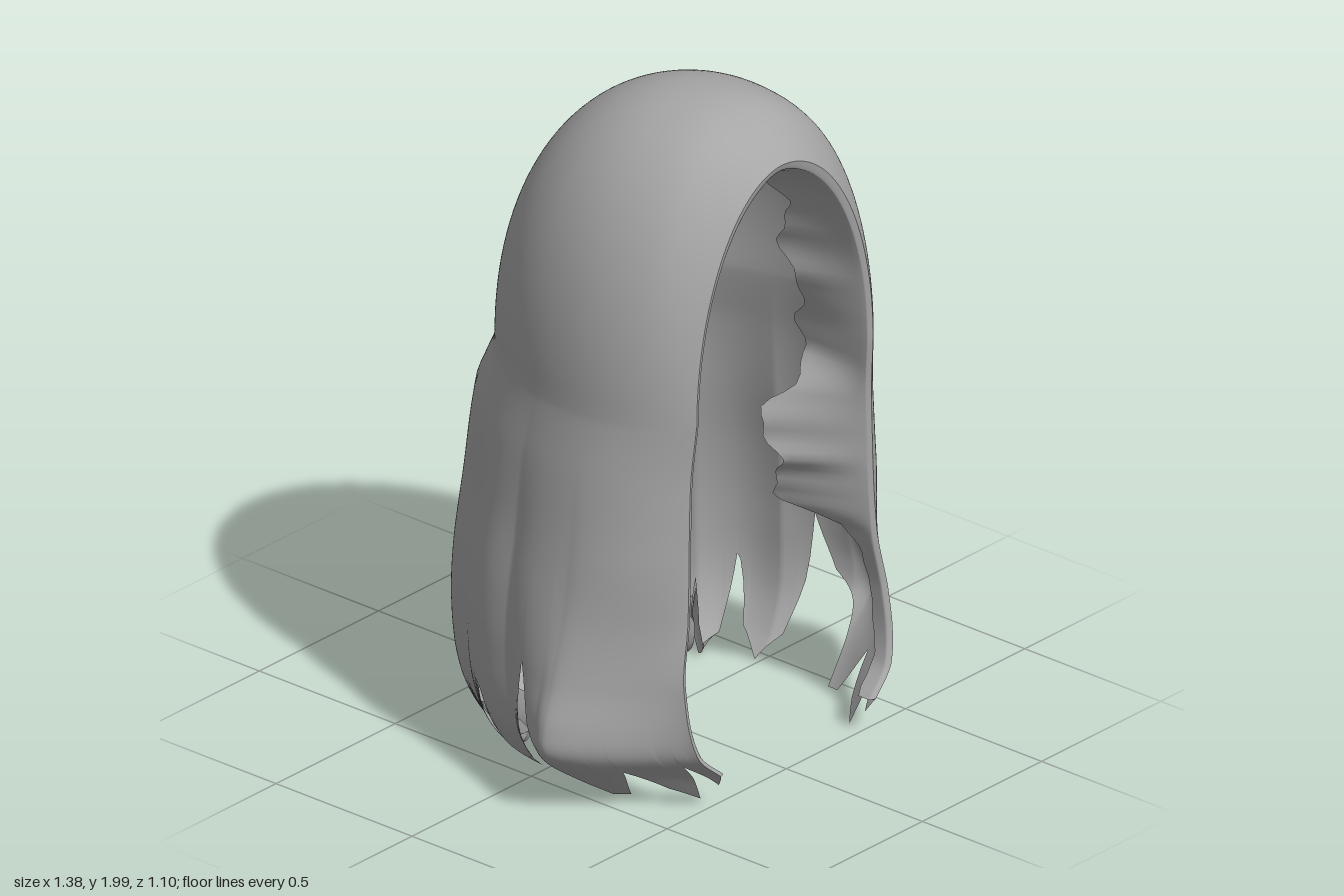
import * as THREE from 'three';
import { mergeVertices } from 'three/addons/utils/BufferGeometryUtils.js';

const { smoothstep, lerp } = THREE.MathUtils;
const EQ = 1.2; // height where the dome meets the hanging hair

// interpolation through [key, value] pairs with rising keys (straight or smooth)
function table(pts, smooth = true) {
  const slope = (i) => {
    const a = pts[Math.max(i - 1, 0)], b = pts[Math.min(i + 1, pts.length - 1)];
    return (b[1] - a[1]) / (b[0] - a[0]);
  };
  return (k) => {
    if (k <= pts[0][0]) return pts[0][1];
    for (let i = 0; i < pts.length - 1; i++) {
      const [k0, v0] = pts[i], [k1, v1] = pts[i + 1];
      if (k > k1) continue;
      const d = k1 - k0, t = (k - k0) / d;
      if (!smooth) return lerp(v0, v1, t);
      const t2 = t * t, t3 = t2 * t;
      return v0 * (2 * t3 - 3 * t2 + 1) + v1 * (3 * t2 - 2 * t3)
        + slope(i) * d * (t3 - 2 * t2 + t) + slope(i + 1) * d * (t3 - t2);
    }
    return pts[pts.length - 1][1];
  };
}

// outlines by height
const sideFront = table([[0, 0.45], [0.1, 0.58], [0.2, 0.69], [0.28, 0.695], [0.4, 0.655], [0.6, 0.605], [0.8, 0.575], [1, 0.55], [1.2, 0.52], [1.3, 0.518]]);
const sideBack = table([[0, 0.45], [0.08, 0.54], [0.2, 0.6], [0.4, 0.615], [0.6, 0.605], [0.8, 0.575], [1, 0.55], [1.2, 0.52], [1.3, 0.518]]);
const backZ = table([[0, -0.33], [0.05, -0.43], [0.15, -0.5], [0.3, -0.545], [0.5, -0.555], [0.8, -0.525], [1.02, -0.495], [1.1, -0.46], [1.2, -0.415], [1.3, -0.41]]);
const rimX = table([[0, 0.24], [0.1, 0.3], [0.2, 0.4], [0.4, 0.425], [0.6, 0.395], [1, 0.38], [1.2, 0.37]]);
const rimZ = table([[0, 0.56], [0.15, 0.54], [0.3, 0.515], [0.5, 0.49], [1, 0.48], [1.2, 0.495]]);
// ragged hem: height by position round the head (0 front rim, 1 back centre)
const hem = table([[0, 0.12], [0.03, 0.08], [0.06, 0.16], [0.1, 0.02], [0.15, 0.06], [0.2, 0.14], [0.25, 0.03],
  [0.3, 0.02], [0.34, 0.1], [0.4, 0.2], [0.425, 0.26], [0.45, 0.43], [0.465, 0.22], [0.48, 0.08], [0.52, 0.02],
  [0.56, 0.08], [0.578, 0.28], [0.6, 0.06], [0.64, 0.02], [0.66, 0.14], [0.68, 0.02], [0.8, 0.01], [1, 0.01]], false);
// how far the lining flaps reach inward
const flap = table([[0.58, 0], [0.62, 0.05], [0.66, 0.11], [0.75, 0.12], [0.86, 0.16], [0.95, 0.16], [1.02, 0.08], [1.1, 0], [1.2, 0.01], [1.36, 0.06], [1.5, 0.04], [1.6, 0.01], [2, 0]], false);

// horizontal section of one half at height y
function section(a, y) {
  const W = lerp(sideFront(y), sideBack(y), smoothstep(a, 0.34, 0.5));
  const zc = 0.16;
  let x, z;
  if (a < 0.4) {
    // the flared front locks leave the rim later, then swell outward
    const b = a / 0.4, e = b * Math.PI / 2, flare = 1 - smoothstep(y, 0.3, 0.8);
    x = lerp(rimX(y), W, lerp(Math.sin(e), smoothstep(b, -0.1, 1), 0.8 * flare));
    z = lerp(rimZ(y), zc, lerp(0.5 * b + 0.5 * (1 - Math.cos(e)), b, flare));
  } else {
    const e = (a - 0.4) / 0.6 * Math.PI / 2;
    x = W * Math.cos(e);
    z = zc + (backZ(y) - zc) * Math.sin(e);
  }
  // shallow grooves between locks
  const amp = 0.033 * (1 - smoothstep(y, 0.6, 1.25)) * smoothstep(a, 0.3, 0.55);
  const g = 1 - amp * (1 - Math.abs(Math.cos(a * Math.PI * 7)));
  return [x * g, y, z * (a > 0.4 ? g : 1)];
}

const DOME = 36, FALL = 64, CURL = 6;

// one strand from the parting to the hem, as a list of points
function strand(a, drop = 0) {
  const pts = [];
  const ridgeZ = Math.min(0.515, lerp(0.52, 0.17, smoothstep(a, -0.1, 0.4)));
  const top = 2 - 0.17 * ((ridgeZ - 0.17) / 0.345) ** 2.4 - drop;
  const [ex, , ez] = section(a, EQ);
  const power = 2 / lerp(2, 2.2, smoothstep(a, 0, 0.2));
  for (let j = 0; j < DOME; j++) {
    const p = j / DOME * Math.PI / 2;
    const out = Math.sin(p) ** power, up = Math.cos(p) ** power;
    pts.push([ex * out, EQ + (top - EQ) * up, ridgeZ + (ez - ridgeZ) * out]);
  }
  const h = hem(a);
  for (let j = 0; j <= FALL; j++) pts.push(section(a, h + (EQ - h) * (1 - j / FALL) ** 1.35));
  return pts;
}

// strand plus the tucked-under curl at the back hem
function shellStrand(a) {
  const pts = strand(a), [x, y, z] = pts[pts.length - 1];
  const w = smoothstep(a, 0.6, 0.74);
  const edge = 0.2 - 0.08 * smoothstep(a, 0.72, 1) + 0.012 * Math.sin(a * 50);
  for (let k = 1; k <= CURL; k++) {
    const t = k / CURL;
    pts.push([x * (1 - 0.15 * t * w), y + edge * t * t * w, z + 0.13 * w * Math.sin(t * Math.PI / 2)]);
  }
  return pts;
}

// inner lining strand: rolls in from the rim, then runs back into the hood
function liningStrand(t) {
  const roll = Math.sin(Math.min(t * 3, 1) * Math.PI / 2);
  const reach = Math.max(0, (t - 0.3) / 0.7);
  return strand(0, 0.022 * roll + 0.045 * reach).map(([x, y, z], j) => {
    const ragged = 1 + 0.14 * Math.sin(j * 0.55) + 0.07 * Math.sin(j * 1.25);
    const depth = lerp(0.12, 1, smoothstep(y, 0.5, 0.68)) * ragged;
    const side = Math.min(1, x / 0.1);
    return [Math.max(0, x - side * (0.018 * roll + flap(y) * reach)), y, z - 0.03 * t - 0.2 * reach * depth];
  });
}

// skin a list of strands; keep(x, y, z) may leave openings
function skin(cols, keep = () => true) {
  const rows = cols[0].length, index = [];
  for (let i = 0; i < cols.length - 1; i++) {
    for (let j = 0; j < rows - 1; j++) {
      if (!keep(...cols[i][j])) continue;
      const a = i * rows + j, b = a + rows;
      index.push(a, a + 1, b, b, a + 1, b + 1);
    }
  }
  const geo = new THREE.BufferGeometry();
  geo.setAttribute('position', new THREE.Float32BufferAttribute(cols.flat(2), 3));
  geo.setIndex(index);
  const merged = mergeVertices(geo, 1e-4);
  merged.computeVertexNormals();
  return merged;
}

const mirror = (cols) => cols.map((c) => c.map(([x, y, z]) => [-x, y, z])).reverse();

export function createModel() {
  const group = new THREE.Group();
  group.name = 'longHair';
  const hairGrey = new THREE.MeshStandardMaterial({ color: 0xa6a6a6, side: THREE.DoubleSide });
  hairGrey.name = 'hair grey';
  const add = (name, geo) => {
    const mesh = new THREE.Mesh(geo, hairGrey);
    mesh.name = name;
    group.add(mesh);
  };

  // outer hair, with a small gap between two back locks
  const N = 200, half = [];
  for (let i = 0; i <= N; i++) half.push(shellStrand(i / N));
  const gap = (x, y, z) => z > -0.3 || Math.abs(x + 0.12) / 0.028 + Math.abs(y - 0.71) / 0.07 > 1;
  add('hairShell', skin([...half, ...mirror(half).slice(1)], gap));

  // rolled rim and ragged lining on each side of the face opening
  const lining = [];
  for (let i = 14; i >= 0; i--) lining.push(liningStrand(i / 14));
  add('leftRimLining', skin(lining));
  add('rightRimLining', skin(mirror(lining)));
  return group;
}
